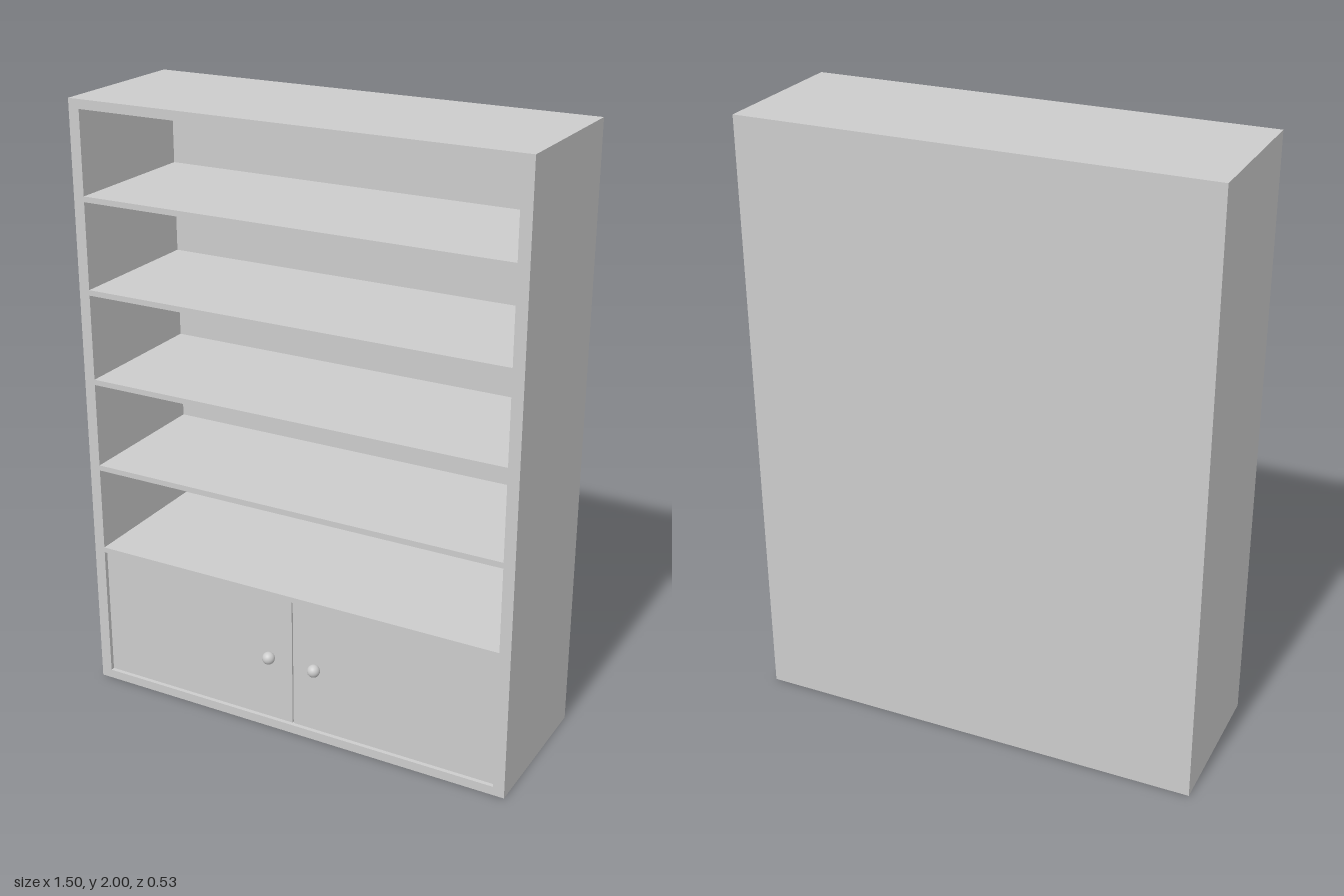
import * as THREE from 'three';

const W = 1.5, H = 2, BACK = -0.266, FRONT = 0.247;
const SIDE = 0.037, SLAB = 0.03, SHELF = 0.018, PANEL = 0.015;

export function createModel() {
  const model = new THREE.Group();
  model.name = 'bookcase';
  const material = new THREE.MeshStandardMaterial({ color: 0xcccccc });

  // Box given by its lower and upper corners
  function board(name, [x0, y0, z0], [x1, y1, z1]) {
    const mesh = new THREE.Mesh(new THREE.BoxGeometry(x1 - x0, y1 - y0, z1 - z0), material);
    mesh.position.set((x0 + x1) / 2, (y0 + y1) / 2, (z0 + z1) / 2);
    mesh.name = name;
    model.add(mesh);
  }

  const inner = W / 2 - SIDE;
  const inBack = BACK + PANEL;

  // Carcass: top, bottom and back between the two sides
  board('topPanel', [-inner, H - SLAB, BACK], [inner, H, FRONT]);
  board('bottomPanel', [-inner, 0, BACK], [inner, SLAB, FRONT]);
  board('backPanel', [-inner, SLAB, BACK], [inner, H - SLAB, inBack]);
  board('rightSide', [-W / 2, 0, BACK], [-inner, H, FRONT]);
  board('leftSide', [inner, 0, BACK], [W / 2, H, FRONT]);

  // Five evenly spaced shelves, flush with the front
  for (let i = 0; i < 5; i++) {
    const top = 0.502 + i * 0.3;
    board('shelf' + (i + 1), [-inner, top - SHELF, inBack], [inner, top, FRONT]);
  }

  // Pair of slightly recessed doors with round knobs
  const doorFront = FRONT - 0.014, doorTop = 0.502 - SHELF, gap = 0.002;
  board('rightDoor', [-inner, SLAB, doorFront - 0.02], [-gap, doorTop, doorFront]);
  board('leftDoor', [gap, SLAB, doorFront - 0.02], [inner, doorTop, doorFront]);
  for (const side of [-1, 1]) {
    const knob = new THREE.Mesh(new THREE.SphereGeometry(0.021, 24, 16), material);
    knob.position.set(side * 0.083, 0.256, 0.245);
    knob.name = side < 0 ? 'rightKnob' : 'leftKnob';
    model.add(knob);
  }
  return model;
}
